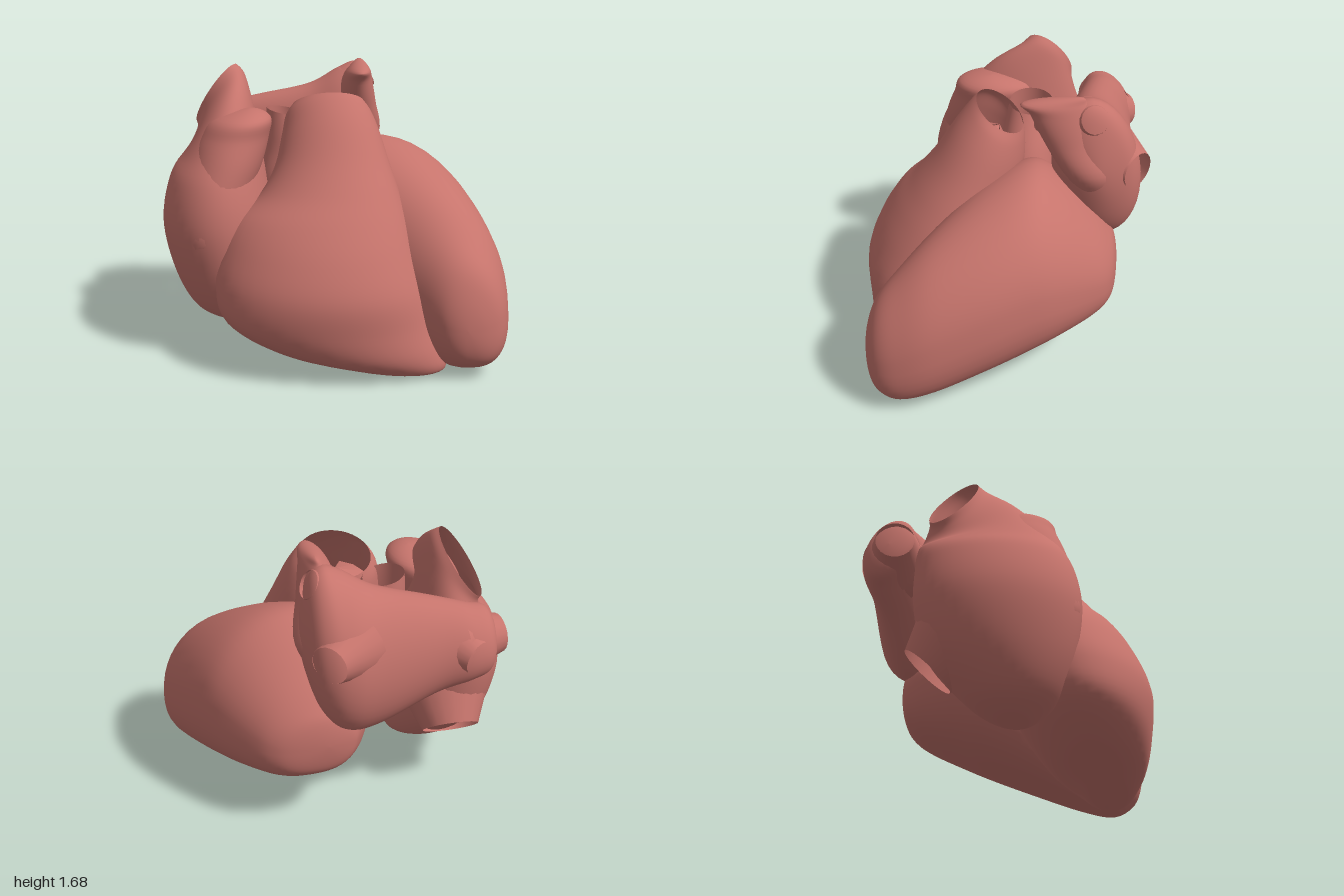
import * as THREE from 'three';

const flesh = new THREE.MeshStandardMaterial({ color: 0xc6746c, side: THREE.DoubleSide });
flesh.name = 'muscleRed';

// Where the [along, a, b] coordinates of a loft go for each main axis
const place = {
  x: (s, a, b) => [s, a, b],
  y: (s, a, b) => [a, s, b],
  z: (s, a, b) => [a, b, s],
};

// Smooth skin over oval sections: [along, a0, a1, b0, b1, tiltA, tiltB].
// A section of zero size closes an end with a round cap; any other end stays open.
// The lower power squares off the -b half; lean slants every section along a.
function loft(name, axis, rows, { lower = 2, lean = 0 } = {}) {
  const around = 40, steps = 6;
  const st = rows.map((r) => [...r, 0, 0].slice(0, 7));
  const phantom = (end, next) =>
    end[1] === end[2] ? [next[0], next[2], next[1], next[4], next[3], next[5], next[6]] : end;
  const n = st.length;
  const all = [phantom(st[0], st[1]), ...st, phantom(st[n - 1], st[n - 2])];
  const pos = [];
  const index = [];
  const total = (n - 1) * steps;
  for (let i = 0; i <= total; i++) {
    const k = Math.min(Math.floor(i / steps), n - 2);
    const t = i / steps - k;
    const [s, a0, a1, b0, b1, ta, tb] = all[k].map((p0, c) => {
      const p1 = all[k + 1][c], p2 = all[k + 2][c], p3 = all[k + 3][c];
      return 0.5 * (2 * p1 + (p2 - p0) * t + (2 * p0 - 5 * p1 + 4 * p2 - p3) * t * t
        + (3 * p1 - p0 - 3 * p2 + p3) * t * t * t);
    });
    for (let j = 0; j < around; j++) {
      const g = (j / around) * Math.PI * 2;
      const power = Math.sin(g) > 0 ? 2 : lower;
      const round = (v) => Math.sign(v) * Math.abs(v) ** (2 / power);
      const db = round(Math.sin(g)) * (b1 - b0) / 2;
      const da = round(Math.cos(g)) * (a1 - a0) / 2 + lean * db;
      pos.push(...place[axis](s + ta * da + tb * db, (a0 + a1) / 2 + da, (b0 + b1) / 2 + db));
      if (i < total) {
        const p = i * around + j, q = i * around + (j + 1) % around;
        if (axis === 'y') index.push(p, p + around, q, q, p + around, q + around);
        else index.push(p, q, p + around, q, q + around, p + around);
      }
    }
  }
  const geo = new THREE.BufferGeometry();
  geo.setAttribute('position', new THREE.Float32BufferAttribute(pos, 3));
  geo.setIndex(index);
  geo.computeVertexNormals();
  const mesh = new THREE.Mesh(geo, flesh);
  mesh.name = name;
  return mesh;
}

// Open vessel stub between two points
function vessel(name, from, to, r0, r1) {
  const a = new THREE.Vector3(...from), b = new THREE.Vector3(...to);
  const dir = b.clone().sub(a);
  const mesh = new THREE.Mesh(new THREE.CylinderGeometry(r1, r0, dir.length(), 20, 3, true), flesh);
  mesh.position.copy(a).lerp(b, 0.5);
  mesh.quaternion.setFromUnitVectors(new THREE.Vector3(0, 1, 0), dir.normalize());
  mesh.name = name;
  return mesh;
}

// Three thin cusps rising to a point inside the outflow
function valve() {
  const group = new THREE.Group();
  group.name = 'outflowValve';
  for (let i = 0; i < 3; i++) {
    const cusp = new THREE.Mesh(new THREE.ConeGeometry(0.22, 0.14, 4, 1, true,
      i * Math.PI * 2 / 3, Math.PI * 0.55), flesh);
    cusp.name = 'valveCusp';
    group.add(cusp);
  }
  group.scale.set(1, 1, 0.7);
  group.rotation.x = -0.5;
  group.position.set(-0.01, 1.32, 0.06);
  return group;
}

export function createModel() {
  const model = new THREE.Group();
  model.name = 'heart';

  // Lower chambers
  model.add(loft('leftVentricle', 'z', [
    [-0.67, 0.2, 0.2, 0.62, 0.62],
    [-0.65, 0.06, 0.4, 0.47, 0.76],
    [-0.6, 0.0, 0.52, 0.4, 0.85],
    [-0.5, -0.07, 0.62, 0.34, 0.98],
    [-0.32, -0.15, 0.75, 0.27, 1.16],
    [-0.15, -0.17, 0.84, 0.21, 1.25],
    [0.1, -0.05, 0.93, 0.14, 1.17],
    [0.4, 0.25, 0.99, 0.07, 0.98],
    [0.6, 0.43, 0.98, 0.04, 0.8],
    [0.72, 0.54, 0.93, 0.09, 0.66],
    [0.78, 0.62, 0.84, 0.18, 0.5],
    [0.8, 0.72, 0.72, 0.33, 0.33],
  ], { lower: 2.5, lean: -0.12 }));
  model.add(loft('rightVentricle', 'y', [
    [0.0, 0.48, 0.48, 0.56, 0.56],
    [0.02, 0.25, 0.6, 0.47, 0.68],
    [0.06, 0.0, 0.64, 0.39, 0.74],
    [0.15, -0.37, 0.635, 0.22, 0.8],
    [0.3, -0.63, 0.59, 0.08, 0.83],
    [0.5, -0.68, 0.53, -0.03, 0.84],
    [0.7, -0.645, 0.47, -0.1, 0.77],
    [0.85, -0.57, 0.43, -0.1, 0.66, 0, 0.1],
    [0.98, -0.42, 0.39, -0.1, 0.54, 0, 0.2],
    [1.13, -0.33, 0.34, -0.1, 0.41, 0, 0.35],
    [1.3, -0.285, 0.285, -0.12, 0.28, 0, 0.6],
    [1.41, -0.26, 0.24, -0.12, 0.2, 0, 0.7],
    [1.47, -0.22, 0.2, -0.11, 0.16, 0, 0.7],
  ], { lean: 0.15 }));
  model.add(valve());

  // Right upper chamber, running up into the large open vein
  model.add(loft('rightAtrium', 'y', [
    [0.16, -0.52, -0.52, 0.08, 0.08],
    [0.2, -0.7, -0.38, -0.08, 0.2],
    [0.3, -0.84, -0.33, -0.23, 0.31],
    [0.52, -0.95, -0.33, -0.42, 0.4],
    [0.8, -1.0, -0.34, -0.49, 0.44],
    [1.05, -0.95, -0.38, -0.49, 0.39],
    [1.22, -0.875, -0.42, -0.48, 0.26, 0.25, 0.1],
    [1.36, -0.81, -0.46, -0.45, 0.08, 0.7, 0.4],
    [1.45, -0.79, -0.5, -0.42, -0.08, 1.1, 0.6],
    [1.49, -0.8, -0.54, -0.42, -0.14, 1.25, 0.7],
  ]));
  model.add(loft('rightAuricle', 'y', [
    [0.5, -0.74, -0.74, 0.2, 0.2],
    [0.7, -0.88, -0.55, 0.0, 0.42],
    [0.95, -0.88, -0.48, -0.15, 0.4],
    [1.15, -0.82, -0.4, -0.2, 0.36],
    [1.3, -0.76, -0.36, -0.2, 0.31],
    [1.41, -0.67, -0.35, -0.15, 0.27],
    [1.46, -0.47, -0.47, 0.08, 0.08],
  ]));
  model.add(vessel('lowerBodyVein', [-0.63, 0.66, -0.22], [-0.62, 0.45, -0.41], 0.29, 0.17));

  // Left upper chamber with its four vein openings
  model.add(loft('leftAtrium', 'x', [
    [-0.76, 1.18, 1.18, -0.63, -0.63],
    [-0.72, 1.03, 1.34, -0.76, -0.51],
    [-0.6, 0.98, 1.38, -0.8, -0.48],
    [-0.4, 0.9, 1.43, -0.78, -0.42],
    [-0.1, 0.74, 1.5, -0.79, -0.32],
    [0.08, 0.71, 1.6, -0.8, -0.27],
    [0.2, 0.8, 1.64, -0.77, -0.29],
    [0.28, 0.98, 1.54, -0.69, -0.36],
    [0.33, 1.25, 1.25, -0.52, -0.52],
  ], { lean: 0.4 }));
  model.add(loft('leftAuricle', 'y', [
    [1.0, 0.2, 0.2, -0.52, -0.52],
    [1.2, 0.08, 0.345, -0.64, -0.34],
    [1.42, 0.08, 0.31, -0.56, -0.21],
    [1.57, 0.1, 0.28, -0.5, -0.14],
    [1.64, 0.14, 0.26, -0.46, -0.1],
    [1.68, 0.21, 0.21, -0.4, -0.4],
  ]));
  const veins = [
    ['upperLeftVein', [0.14, 1.5, -0.47], [0.27, 1.57, -0.5], 0.13, 0.08],
    ['lowerLeftVein', [0.05, 1.22, -0.6], [0.22, 1.21, -0.76], 0.21, 0.11],
    ['upperRightVein', [-0.55, 1.17, -0.62], [-0.8, 1.18, -0.59], 0.18, 0.11],
    ['lowerRightVein', [-0.5, 1.18, -0.56], [-0.62, 1.14, -0.77], 0.2, 0.1],
  ];
  for (const v of veins) model.add(vessel(...v));

  // Main artery root between the chambers, with a small side branch
  model.add(loft('mainArtery', 'y', [
    [0.7, -0.2, -0.2, -0.12, -0.12],
    [0.82, -0.4, 0.05, -0.28, 0.06],
    [1.0, -0.42, 0.06, -0.31, 0.06],
    [1.17, -0.39, 0.0, -0.3, 0.02],
    [1.3, -0.38, -0.09, -0.3, -0.01, 0.1],
    [1.4, -0.37, -0.13, -0.29, -0.03, -0.2],
  ]));
  model.add(vessel('smallArteryBranch', [-0.18, 1.25, -0.2], [-0.07, 1.37, -0.23], 0.07, 0.035));
  return model;
}
